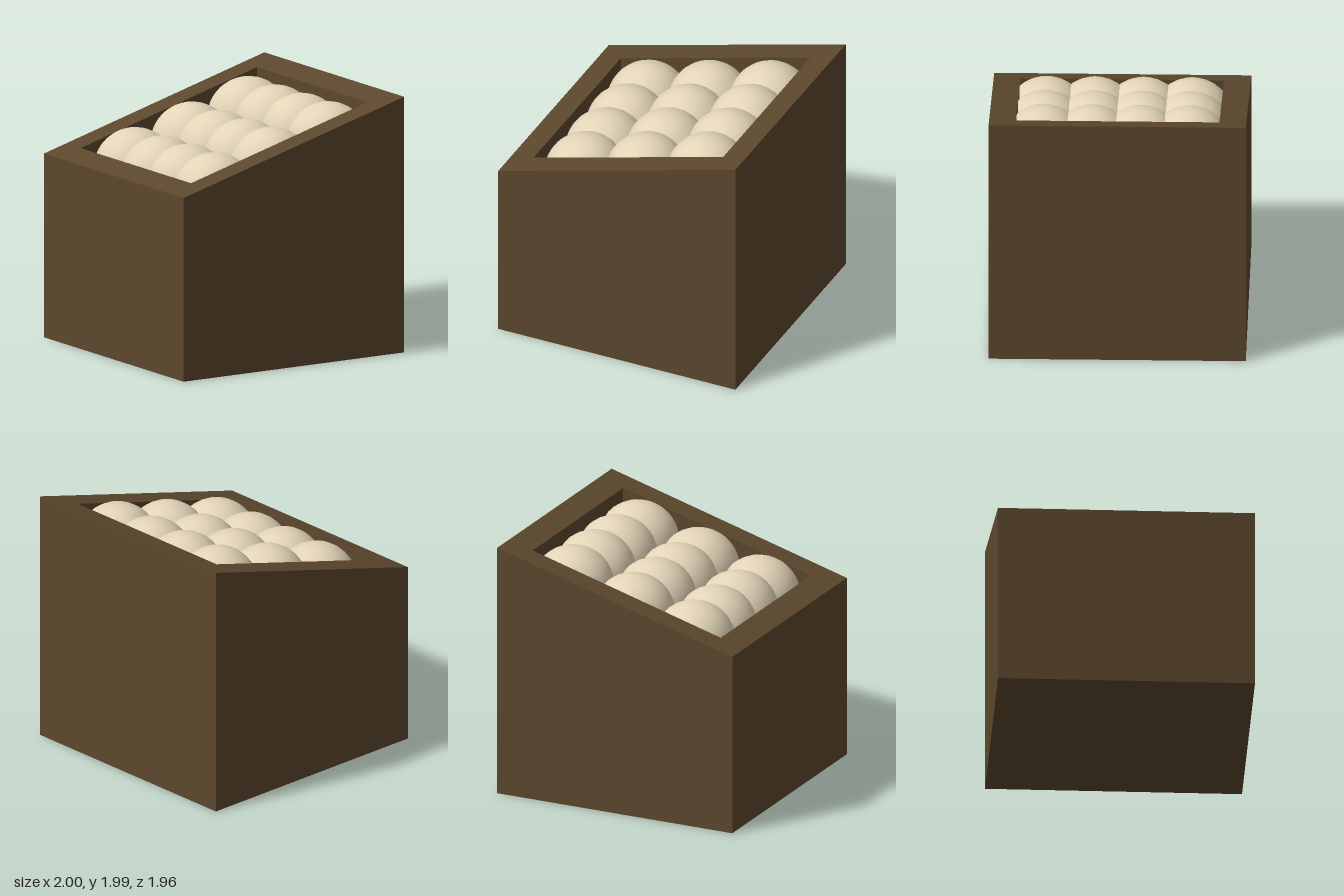
import * as THREE from 'three';

const SLOPE = 0.28, TILT = Math.atan(SLOPE);
const top = (x) => 1.71 + SLOPE * x; // height of the slanted rim

// Box without its lid, with each corner's height set by a rule
function openBox(w, d, low, high, inward) {
  const g = new THREE.BoxGeometry(w, 1, d);
  const p = g.attributes.position;
  for (let i = 0; i < p.count; i++) p.setY(i, p.getY(i) > 0 ? high(p.getX(i)) : low(p.getX(i)));
  const faces = Array.from(g.index.array);
  faces.splice(12, 6); // the +y face
  if (inward) faces.reverse();
  g.setIndex(faces);
  g.clearGroups();
  const flat = g.toNonIndexed();
  flat.computeVertexNormals();
  return flat;
}

export function createModel() {
  const model = new THREE.Group();
  model.name = 'crateOfBalls';
  const brown = new THREE.MeshStandardMaterial({ name: 'brown wood', color: 0x5c472d });
  const cream = new THREE.MeshStandardMaterial({ name: 'cream', color: 0xe2d4b7 });
  const add = (name, geometry, material, parent = model) => {
    const mesh = new THREE.Mesh(geometry, material);
    mesh.name = name;
    parent.add(mesh);
    return mesh;
  };

  // Outer crate and sunken pocket
  const crate = new THREE.Group();
  crate.name = 'crate';
  model.add(crate);
  add('crateSides', openBox(2, 1.96, () => 0, top, false), brown, crate);
  add('pocket', openBox(1.6, 1.55, (x) => top(x) - 0.32, top, true), brown, crate);

  // Slanted rim around the pocket
  const outline = (path, x, z) => path.moveTo(-x, -z).lineTo(x, -z).lineTo(x, z).lineTo(-x, z).closePath();
  const shape = outline(new THREE.Shape(), 1, 0.98);
  shape.holes.push(outline(new THREE.Path(), 0.8, 0.775));
  const rim = new THREE.ShapeGeometry(shape).rotateX(-Math.PI / 2);
  const p = rim.attributes.position;
  for (let i = 0; i < p.count; i++) p.setY(i, top(p.getX(i)));
  rim.computeVertexNormals();
  add('rim', rim, brown, crate);

  // Three columns of four balls, following the slant
  const balls = new THREE.Group();
  balls.name = 'balls';
  model.add(balls);
  const ballGeometry = new THREE.SphereGeometry(0.32, 32, 16);
  for (let col = 0; col < 3; col++) {
    for (let row = 0; row < 4; row++) {
      const ball = add('ball', ballGeometry, cream, balls);
      ball.position.set(-0.455 + col * 0.515, 1.326 + col * 0.14, -0.54 + row * 0.37);
      ball.rotation.z = TILT;
    }
  }
  return model;
}
